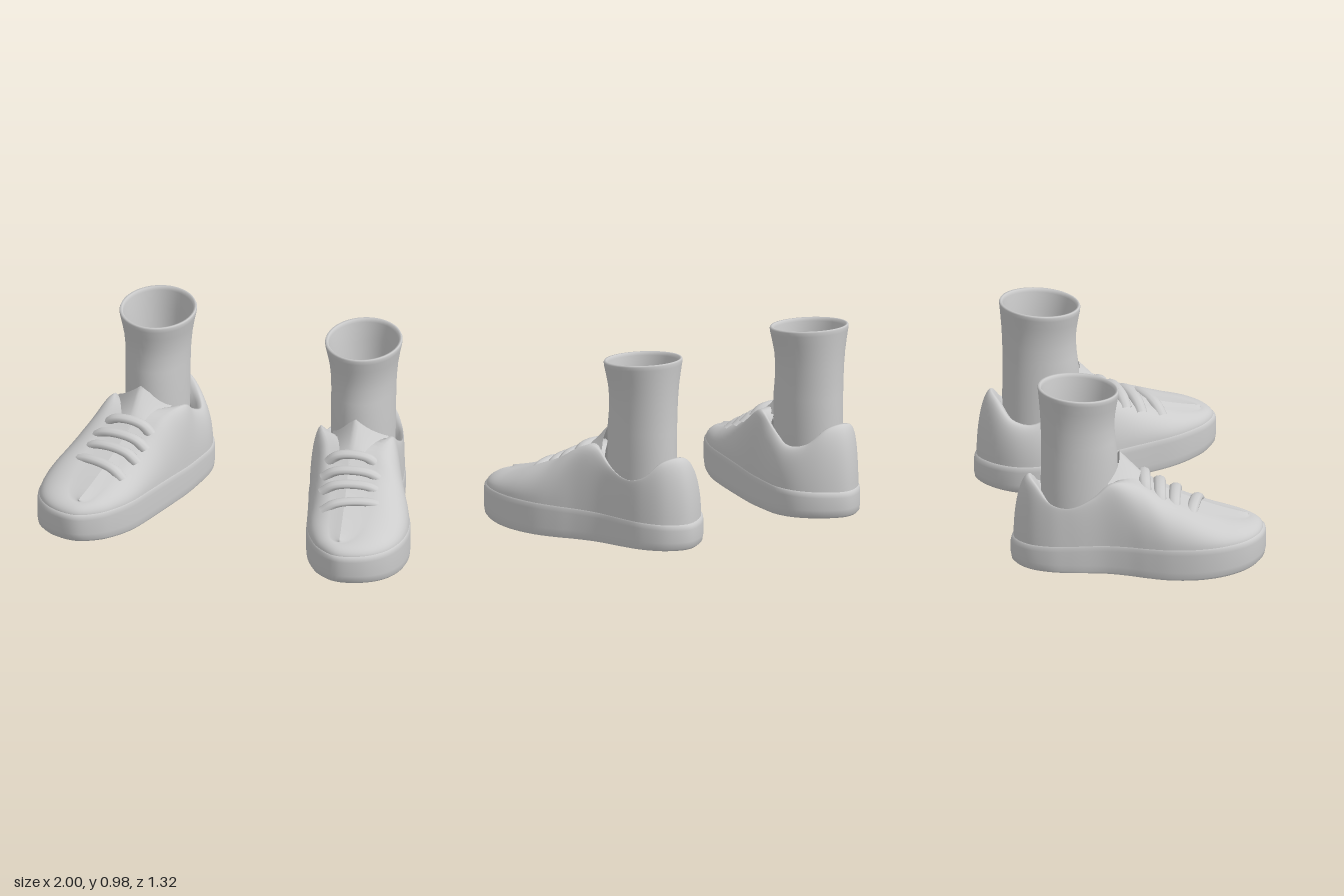
import * as THREE from 'three';

const V = (x, y, z) => new THREE.Vector3(x, y, z);
const STEPS = 120;

// Stations around one shoe, heel > outer side > toe > inner side:
// [sole x, sole z, rim x, rim y, rim z]
const stations = [
  [0.54, -0.66, 0.56, 0.485, -0.565],
  [0.655, -0.61, 0.645, 0.465, -0.545],
  [0.73, -0.5, 0.715, 0.385, -0.485],
  [0.765, -0.38, 0.75, 0.365, -0.39],
  [0.80, -0.22, 0.762, 0.42, -0.27],
  [0.85, -0.1, 0.755, 0.495, -0.17],
  [0.905, 0, 0.725, 0.475, -0.03],
  [0.96, 0.12, 0.735, 0.40, 0.1],
  [0.995, 0.27, 0.76, 0.34, 0.24],
  [0.99, 0.41, 0.78, 0.285, 0.4],
  [0.945, 0.53, 0.78, 0.262, 0.48],
  [0.85, 0.62, 0.75, 0.245, 0.55],
  [0.715, 0.655, 0.71, 0.24, 0.57],
  [0.60, 0.59, 0.67, 0.245, 0.55],
  [0.53, 0.5, 0.64, 0.262, 0.48],
  [0.475, 0.39, 0.62, 0.285, 0.4],
  [0.43, 0.24, 0.575, 0.34, 0.24],
  [0.39, 0.1, 0.51, 0.40, 0.1],
  [0.36, 0, 0.46, 0.475, -0.03],
  [0.33, -0.1, 0.375, 0.495, -0.17],
  [0.305, -0.22, 0.365, 0.42, -0.27],
  [0.285, -0.38, 0.36, 0.365, -0.39],
  [0.32, -0.5, 0.405, 0.385, -0.485],
  [0.42, -0.61, 0.48, 0.465, -0.545],
];

const soleTop = z => 0.17 + 0.045 * z;
const soleBottom = z => 0.002 + 0.1 * Math.max(0, z) ** 2;
const centreX = z => 0.59 + 0.22 * z;

// Smooth closed ring through control points
function ring(points) {
  const curve = new THREE.CatmullRomCurve3(points, true, 'centripetal');
  return Array.from({ length: STEPS }, (_, i) => curve.getPoint(i / STEPS));
}

// Skin over rings (closed) or rows (open)
function loft(rings, closed = true) {
  const n = rings[0].length;
  const index = [];
  for (let j = 0; j < rings.length - 1; j++) {
    for (let i = 0; i < (closed ? n : n - 1); i++) {
      const k = (i + 1) % n;
      const a = j * n + i, b = j * n + k, c = a + n, d = b + n;
      index.push(a, c, b, b, c, d);
    }
  }
  const geometry = new THREE.BufferGeometry().setFromPoints(rings.flat());
  geometry.setIndex(index);
  geometry.computeVertexNormals();
  return geometry;
}

function soleRing(scale, height) {
  return ring(stations.map(([x, z]) => {
    const sx = 0.64 + (x - 0.64) * scale, sz = z * scale;
    return V(sx, height(sz), sz);
  }));
}

function buildShoe(material) {
  const shoe = new THREE.Group();
  const add = (name, geometry) => {
    const mesh = new THREE.Mesh(geometry, material);
    mesh.name = name;
    shoe.add(mesh);
    return mesh;
  };

  // Sole: flat underside and a nearly upright wall with a rounded top edge
  add('soleUnderside', loft([0, 0.3, 0.6, 0.85, 0.97].map(s => soleRing(s, soleBottom))));
  add('soleWall', loft([
    soleRing(0.97, soleBottom),
    soleRing(0.99, z => soleBottom(z) + 0.012),
    soleRing(1, z => soleBottom(z) + 0.045),
    soleRing(1, z => soleTop(z) - 0.03),
    soleRing(0.993, z => soleTop(z) - 0.008),
    soleRing(0.975, soleTop),
  ]));

  // Upper: arched walls from the sole to the collar and throat
  const base = soleRing(0.978, z => soleTop(z) - 0.008);
  const rim = ring(stations.map(s => V(s[2], s[3], s[4])));
  const rings = [];
  for (let j = 0; j <= 12; j++) {
    const a = (j / 12) * Math.PI / 2;
    rings.push(base.map((p, i) => {
      const q = rim[i], f = 1 - Math.cos(a);
      return V(
        THREE.MathUtils.lerp(p.x, q.x, f),
        THREE.MathUtils.lerp(p.y, q.y, Math.sin(a)),
        THREE.MathUtils.lerp(p.z, q.z, f));
    }));
  }
  // Collar lip turns in at the ankle, the front closes over the foot
  for (const t of [0.5, 1]) {
    rings.push(ring(stations.map(([, , x, y, z]) => z > -0.1
      ? V(THREE.MathUtils.lerp(x, centreX(z), t), y + 0.012 * t, z)
      : V(x + (0.565 - x) * 0.16 * t, y - 0.07 * t * t, z + (-0.31 - z) * 0.16 * t))));
  }
  add('upper', loft(rings));

  // Tongue: pointed flap wrapped against the front of the ankle
  const rows = [];
  for (let j = 0; j <= 6; j++) {
    const t = j / 6, row = [];
    for (let i = 0; i <= 16; i++) {
      const u = i / 8 - 1;
      const low = V(0.6 + 0.13 * u, 0.45 - 0.02 * u * u, 0.05 - 0.06 * u * u);
      const high = V(0.59 + 0.15 * u, 0.605 - 0.12 * Math.abs(u), -0.095 - 0.09 * u * u);
      row.push(low.lerp(high, t));
    }
    rows.push(row);
  }
  add('tongue', loft(rows, false));

  // Laces: flattened bars [inner x, inner z, outer x, outer z, height]
  const laces = [
    [0.49, 0.05, 0.74, 0.015, 0.463],
    [0.49, 0.135, 0.79, 0.085, 0.413],
    [0.51, 0.22, 0.81, 0.155, 0.374],
    [0.55, 0.335, 0.86, 0.23, 0.328],
  ];
  laces.forEach(([xi, zi, xo, zo, y]) => {
    const at = (t, dy) => V(xi + (xo - xi) * t, dy, zi + (zo - zi) * t);
    const path = new THREE.CatmullRomCurve3([
      at(0, -0.075), at(0.2, -0.012), at(0.5, 0.006), at(0.8, -0.012), at(1, -0.075)]);
    const lace = add('lace', new THREE.TubeGeometry(path, 24, 0.033, 10));
    lace.scale.y = 0.65;
    lace.position.y = y;
  });

  // Sock: flared hollow tube [height, half width, centre z, half depth]
  const sock = [
    [0.28, 0.16, -0.3, 0.2], [0.45, 0.165, -0.302, 0.203], [0.6, 0.167, -0.302, 0.2],
    [0.68, 0.167, -0.308, 0.195], [0.76, 0.17, -0.312, 0.193], [0.83, 0.177, -0.312, 0.197],
    [0.89, 0.188, -0.31, 0.204], [0.94, 0.199, -0.308, 0.211], [0.96, 0.202, -0.308, 0.213],
    [0.969, 0.198, -0.308, 0.209], [0.968, 0.187, -0.308, 0.199], [0.95, 0.181, -0.308, 0.193],
    [0.85, 0.166, -0.31, 0.184], [0.7, 0.155, -0.308, 0.178], [0.5, 0.15, -0.304, 0.175],
    [0.42, 0.12, -0.304, 0.14], [0.4, 0, -0.304, 0],
  ];
  add('sock', loft(sock.map(([y, rx, cz, rz]) => Array.from({ length: 48 }, (_, i) => {
    const a = (i / 48) * Math.PI * 2, z = -rz * Math.cos(a);
    const tilt = 0.075 * THREE.MathUtils.smoothstep(y, 0.6, 0.95);
    return V(0.564 + rx * Math.sin(a), y - z * tilt, cz + z);
  }))));

  return shoe;
}

export function createModel() {
  const grey = new THREE.MeshStandardMaterial({ color: 0xcccccc, side: THREE.DoubleSide });
  grey.name = 'light grey';
  const model = new THREE.Group();
  model.name = 'pairOfShoes';
  for (const side of [1, -1]) {
    const shoe = buildShoe(grey);
    shoe.name = side > 0 ? 'leftShoe' : 'rightShoe';
    shoe.scale.x = side;
    model.add(shoe);
  }
  return model;
}
